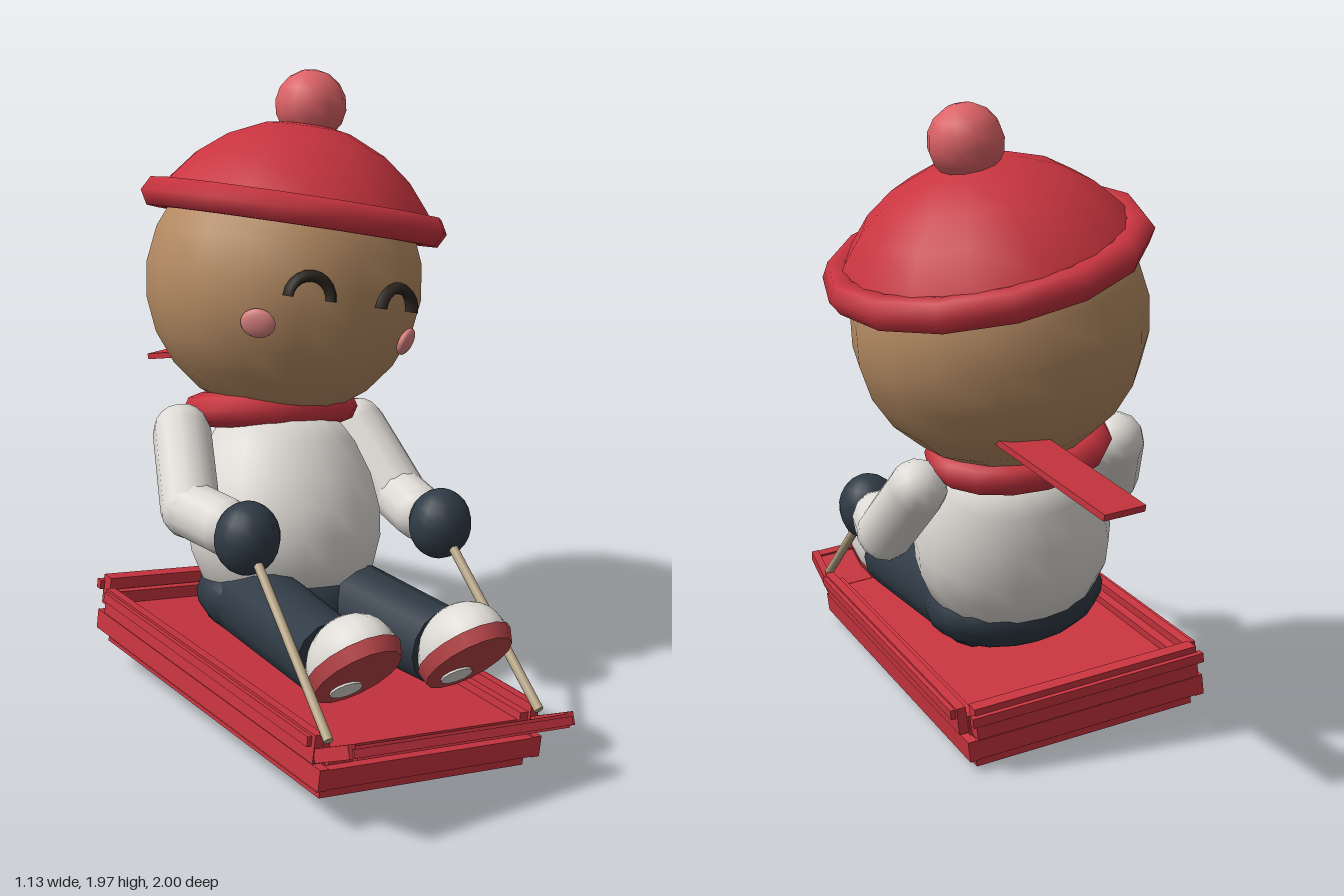
import * as THREE from 'three';

const mat = (name, color) => {
  const m = new THREE.MeshStandardMaterial({ color });
  m.name = name;
  return m;
};

export function createModel() {
  const red = mat('red', 0xc8343f);
  const soleRed = mat('soleRed', 0xb84448);
  const pink = mat('pompomPink', 0xdc6266);
  const cheekPink = mat('cheekPink', 0xd88080);
  const skin = mat('skin', 0xb48a62);
  const white = mat('white', 0xdedad5);
  const dark = mat('darkBlue', 0x2f3a45);
  const eyeDark = mat('eyeDark', 0x2b251f);
  const ropeTan = mat('ropeTan', 0xb8a585);

  const model = new THREE.Group();
  const add = (parent, name, geo, material, x = 0, y = 0, z = 0) => {
    const m = new THREE.Mesh(geo, material);
    m.name = name;
    m.position.set(x, y, z);
    parent.add(m);
    return m;
  };
  const box = (parent, name, w, h, d, x, y, z, material = red) =>
    add(parent, name, new THREE.BoxGeometry(w, h, d), material, x, y, z);
  const ball = (parent, name, rx, ry, rz, material, x, y, z) => {
    const m = add(parent, name, new THREE.SphereGeometry(1, 16, 12), material, x, y, z);
    m.scale.set(rx, ry, rz);
    return m;
  };
  // Round bar or capsule from point a to point b
  const bar = (parent, name, a, b, r0, r1, material, capsule = false) => {
    const p = new THREE.Vector3(...a), q = new THREE.Vector3(...b);
    const len = p.distanceTo(q);
    const geo = capsule
      ? new THREE.CapsuleGeometry(r0, len, 4, 12)
      : new THREE.CylinderGeometry(r1, r0, len, r0 < 0.05 ? 8 : 14);
    const m = add(parent, name, geo, material);
    m.position.copy(p).lerp(q, 0.5);
    m.quaternion.setFromUnitVectors(new THREE.Vector3(0, 1, 0), q.sub(p).normalize());
    return m;
  };

  // Sled and body share one sideways lean
  const rider = new THREE.Group();
  rider.name = 'sledAndBody';
  rider.position.set(-0.155, 0.055, 0);
  rider.rotation.z = -0.125;
  model.add(rider);

  // Sled tray
  const sled = new THREE.Group();
  sled.name = 'sled';
  rider.add(sled);
  box(sled, 'trayBottom', 0.73, 0.04, 1.32, 0, 0.02, 0.17);
  box(sled, 'trayFloor', 0.7, 0.03, 1.28, 0, 0.125, 0.17);
  for (const s of [-1, 1]) {
    box(sled, 'lowerSideRail', 0.03, 0.065, 1.39, s * 0.38, 0.07, 0.17);
    box(sled, 'upperSideRail', 0.03, 0.085, 1.3, s * 0.385, 0.15, 0.18);
    box(sled, 'sideRim', 0.02, 0.03, 1.27, s * 0.405, 0.17, 0.18);
    box(sled, 'innerSideWall', 0.03, 0.15, 1.3, s * 0.355, 0.09, 0.17);
  }
  for (const z of [-0.51, 0.85]) box(sled, 'lowerEndRail', 0.76, 0.06, 0.03, 0, 0.07, z);
  box(sled, 'frontInnerWall', 0.7, 0.1, 0.03, 0, 0.08, 0.82);
  box(sled, 'backInnerWall', 0.7, 0.16, 0.03, 0, 0.1, -0.475);
  box(sled, 'backBoard', 0.74, 0.1, 0.05, 0, 0.165, -0.525);
  box(sled, 'backRim', 0.77, 0.03, 0.025, 0, 0.18, -0.555);
  const frontBoard = box(sled, 'frontBoard', 0.77, 0.025, 0.19, 0, 0.165, 0.915);
  frontBoard.rotation.x = -0.45;
  const frontLip = box(sled, 'frontLip', 0.75, 0.04, 0.025, 0, 0.2, 0.985);
  frontLip.rotation.x = -0.45;
  for (const s of [-1, 1]) {
    const cheek = box(sled, 'frontBoardEnd', 0.025, 0.04, 0.18, s * 0.385, 0.17, 0.91);
    cheek.rotation.x = -0.45;
  }

  // Torso, leaning back
  const profile = [[0, 0], [0.2, 0.01], [0.28, 0.08], [0.315, 0.18], [0.32, 0.27],
    [0.3, 0.38], [0.255, 0.49], [0.2, 0.57], [0, 0.61]].map(p => new THREE.Vector2(...p));
  const torso = add(rider, 'torso', new THREE.LatheGeometry(profile, 20), white, 0, 0.29, 0.03);
  torso.rotation.x = -0.34;
  torso.scale.z = 0.9;
  ball(rider, 'pantsSeat', 0.3, 0.155, 0.25, dark, 0, 0.305, 0.0);

  for (const s of [-1, 1]) {
    // Legs
    bar(rider, 'leg', [s * 0.14, 0.31, -0.06], [s * 0.2, 0.305, 0.585], 0.135, 0.12, dark);
    // Boots with soles facing forward
    const boot = new THREE.Group();
    boot.name = 'boot';
    boot.position.set(s * 0.2, 0.33, 0.69);
    boot.rotation.x = -0.8;
    rider.add(boot);
    const upper = add(boot, 'bootUpper',
      new THREE.SphereGeometry(1, 16, 8, 0, Math.PI * 2, 0, Math.PI / 2), white);
    upper.scale.set(0.125, 0.14, 0.175);
    const sole = add(boot, 'sole', new THREE.CylinderGeometry(1, 0.92, 1, 16), soleRed, 0, -0.02, 0);
    sole.scale.set(0.128, 0.045, 0.187);
    add(boot, 'solePatch', new THREE.CylinderGeometry(0.05, 0.05, 0.008, 12), white, 0, -0.045, -0.075);
    // Arms and mittens
    const shoulder = [s * 0.335, 0.8, -0.18], elbow = [s * 0.395, 0.61, 0.02];
    const hand = [s * 0.355, 0.6, 0.3];
    bar(rider, 'upperArm', shoulder, elbow, 0.092, 0.092, white, true);
    bar(rider, 'forearm', elbow, [s * 0.36, 0.6, 0.18], 0.09, 0.09, white, true);
    ball(rider, 'mitten', 0.1, 0.112, 0.1, dark, ...hand);
    // Rope from mitten to the front of the sled
    bar(rider, 'rope', hand, [s * 0.375, 0.185, 0.86], 0.015, 0.015, ropeTan);
  }

  // Scarf ring, tipped backward
  const scarf = add(rider, 'scarf',
    new THREE.TorusGeometry(0.235, 0.065, 8, 16).rotateX(Math.PI / 2), red, 0, 0.865, -0.2);
  scarf.scale.set(1, 0.85, 0.78);
  scarf.rotation.x = -0.22;

  // Scarf end flying out behind
  const tail = box(model, 'scarfTail', 0.15, 0.02, 0.55, 0.035, 0.985, -0.71);
  tail.lookAt(0.105, 1.045, -0.45);

  // Head group, tilted further
  const head = new THREE.Group();
  head.name = 'headGroup';
  head.position.set(0.03, 1.32, -0.235);
  head.rotation.set(-0.1, 0, -0.235);
  model.add(head);
  ball(head, 'head', 0.455, 0.44, 0.435, skin, 0, 0, 0);
  for (const s of [-1, 1]) {
    const eye = add(head, 'smilingEye',
      new THREE.TorusGeometry(0.07, 0.018, 6, 10, Math.PI), eyeDark, s * 0.16, -0.04, 0.41);
    eye.rotation.y = s * 0.2;
    eye.scale.z = 1.3;
    const cheek = ball(head, 'cheek', 0.054, 0.046, 0.02, cheekPink, s * 0.275, -0.135, 0.325);
    cheek.rotation.set(0.3, s * 0.7, 0, 'YXZ');
  }

  // Hat
  const dome = [[0.455, 0], [0.42, 0.06], [0.35, 0.145], [0.26, 0.215], [0.14, 0.27], [0, 0.295]];
  const cap = add(head, 'hatDome',
    new THREE.LatheGeometry(dome.map(p => new THREE.Vector2(...p)), 14), red, 0, 0.22, 0);
  cap.material.side = THREE.DoubleSide;
  const brim = add(head, 'hatBrim',
    new THREE.TorusGeometry(0.45, 0.05, 6, 14).rotateX(Math.PI / 2), red, 0, 0.22, 0);
  brim.scale.y = 1.05;
  add(head, 'pompom', new THREE.SphereGeometry(0.115, 12, 8), pink, 0, 0.565, 0);

  return model;
}
